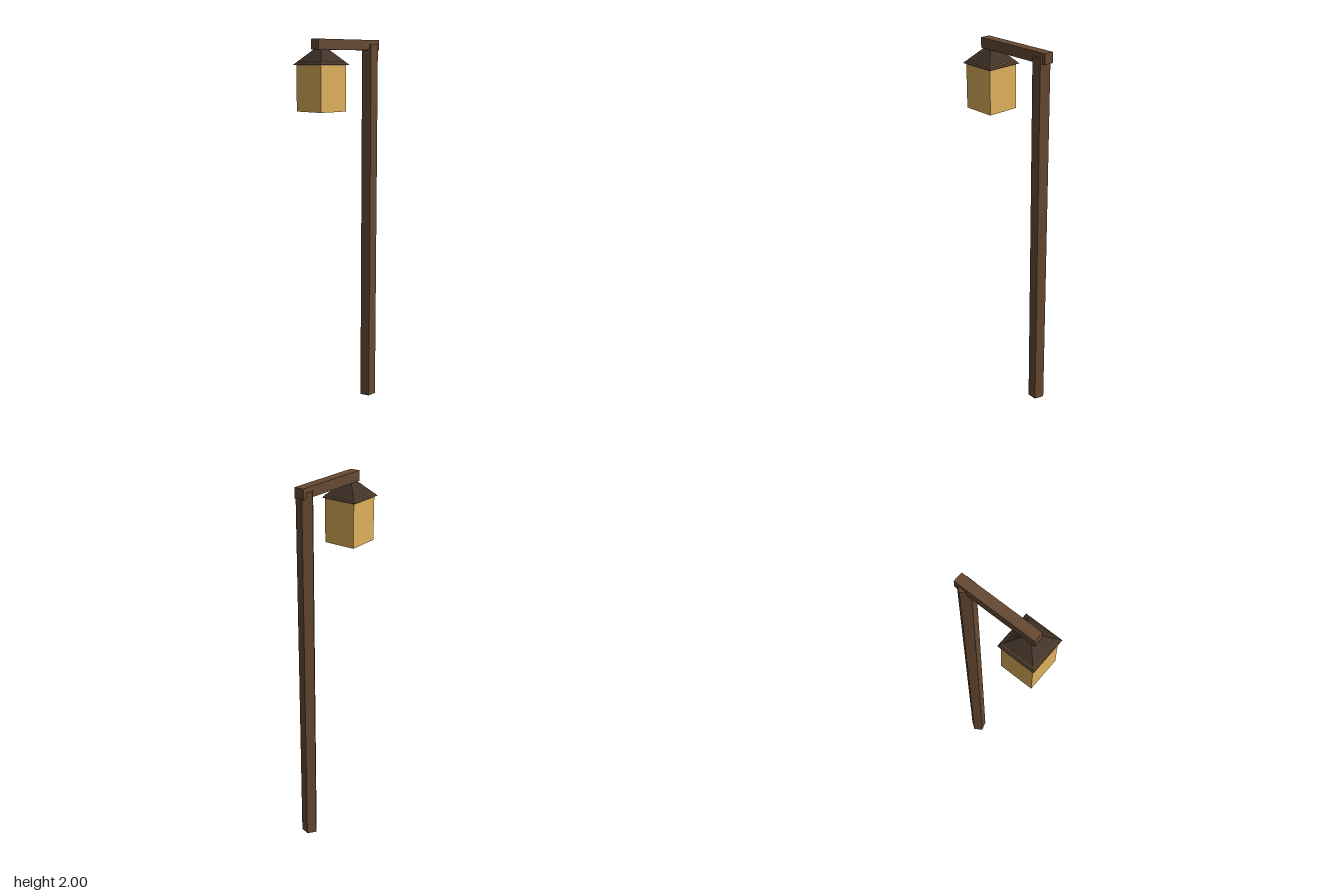
import * as THREE from 'three';

export function createModel() {
  const group = new THREE.Group();
  const material = (color) => new THREE.MeshStandardMaterial({ color, flatShading: true });
  const wood = material(0x664a33);
  const darkMetal = material(0x41332a);
  const amber = material(0xdfb15b);

  const add = (name, geometry, mat, x, y, z) => {
    const mesh = new THREE.Mesh(geometry, mat);
    mesh.name = name;
    mesh.position.set(x, y, z);
    group.add(mesh);
    return mesh;
  };

  // Five-sided post with its ridge to the back
  const postHeight = 1.977;
  const post = add('post', new THREE.CylinderGeometry(0.045, 0.045, postHeight, 5), wood, 0.206, postHeight / 2, -0.001);
  post.rotation.y = Math.PI;

  // Cross arm that carries the lantern
  add('arm', new THREE.BoxGeometry(0.448, 0.053, 0.053), wood, 0.028, 1.9735, -0.001);

  // Lantern box; its top edge just breaks through the roof slope
  const lanternX = -0.152, lanternZ = -0.001;
  const bottom = 1.638, top = 1.887;
  add('lanternGlass', new THREE.BoxGeometry(0.178, top - bottom, 0.178), amber, lanternX, (bottom + top) / 2, lanternZ);

  // Pyramid roof, with its tip buried in the arm
  const eaves = 1.872, tip = 1.976;
  const roof = add('lanternRoof', new THREE.ConeGeometry(0.101 * Math.SQRT2, tip - eaves, 4), darkMetal, lanternX, (eaves + tip) / 2, lanternZ);
  roof.rotation.y = Math.PI / 4;

  return group;
}
